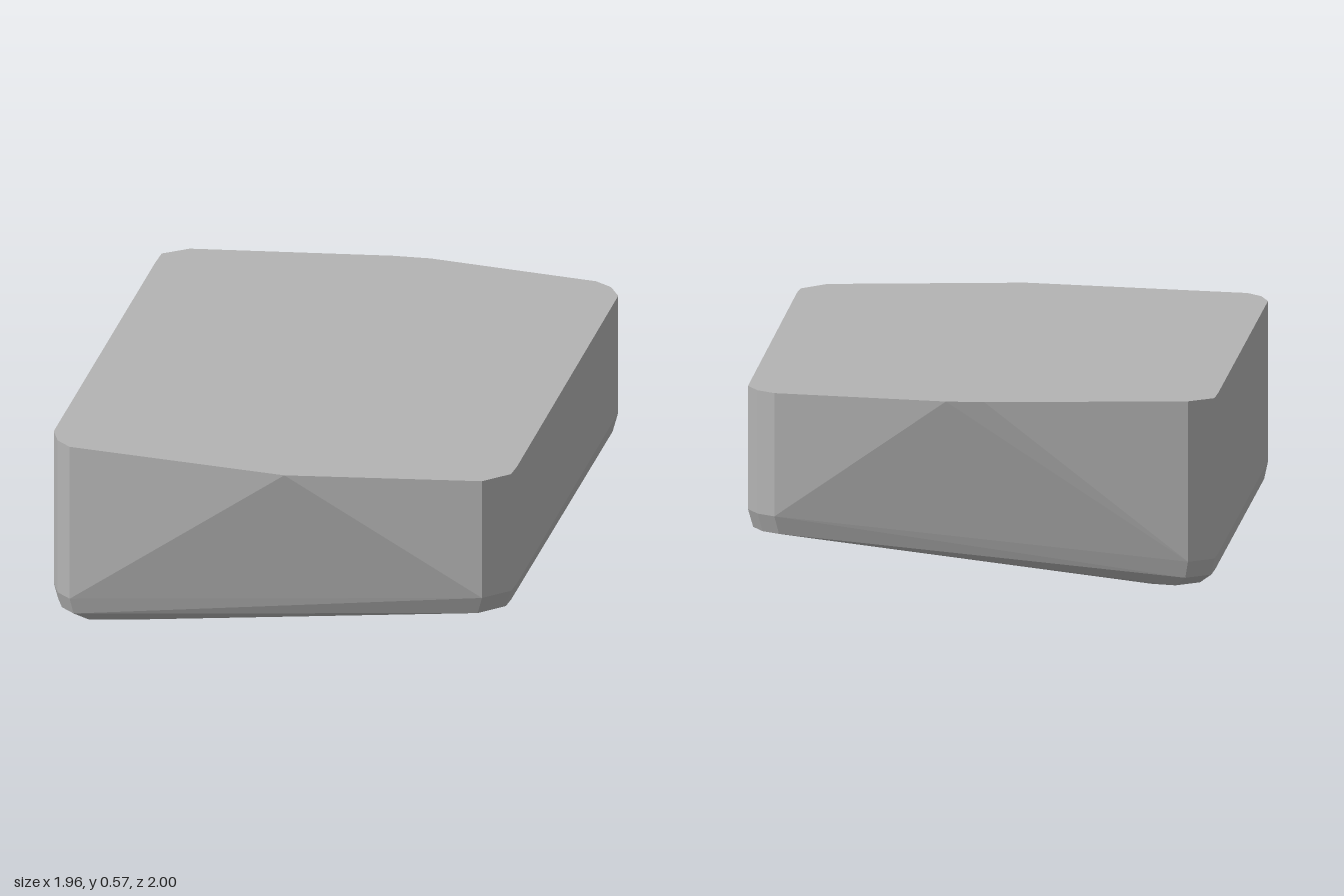
import * as THREE from 'three';
import { ConvexGeometry } from 'three/addons/geometries/ConvexGeometry.js';

const TOP = 0.575;

// Rounded corners of the slab as [x, z]; lower edge: wall foot height, then [scale, y] rings
const corners = [
  { pts: [[-0.97, 0.25], [-0.98, 0.19], [-0.96, 0.12]], foot: 0.1, rings: [[0.985, 0.05], [0.93, 0.018]] },
  { pts: [[-0.14, -0.94], [-0.09, -1], [0, -1]], foot: 0.1, rings: [[0.985, 0.05], [0.93, 0.018]] },
  { pts: [[0.96, -0.27], [0.98, -0.21], [0.97, -0.14]], foot: 0.21, rings: [[0.98, 0.155]] },
  { pts: [[0.14, 0.94], [0.1, 0.985], [0, 1]], foot: 0.21, rings: [[0.97, 0.152]] },
];

// Points where the two short ends bulge outward, at the top only
const bulges = [[-0.5, 0.715], [0.51, -0.7], [0.6, -0.635]];

// Lowest edge the slanted underside rests on
const base = [[-0.8, 0.2], [-0.74, 0.26], [-0.1, -0.81], [0, -0.8]];

export function createModel() {
  const group = new THREE.Group();
  const stone = new THREE.MeshStandardMaterial({ color: 0xb4b4b4 });
  stone.name = 'stone grey';

  const points = [];
  const add = (x, y, z) => points.push(new THREE.Vector3(x, y, z));

  // Vertical corner walls, then the rounded lower edge
  for (const { pts, foot, rings } of corners) {
    for (const [x, z] of pts) {
      add(x, TOP, z);
      add(x, foot, z);
      for (const [s, y] of rings) add(x * s, y, z * s);
    }
  }
  for (const [x, z] of bulges) add(x, TOP, z);
  for (const [x, z] of base) add(x, 0, z);

  // Slab: one faceted convex block
  const slab = new THREE.Mesh(new ConvexGeometry(points), stone);
  slab.name = 'slab';
  group.add(slab);
  return group;
}
